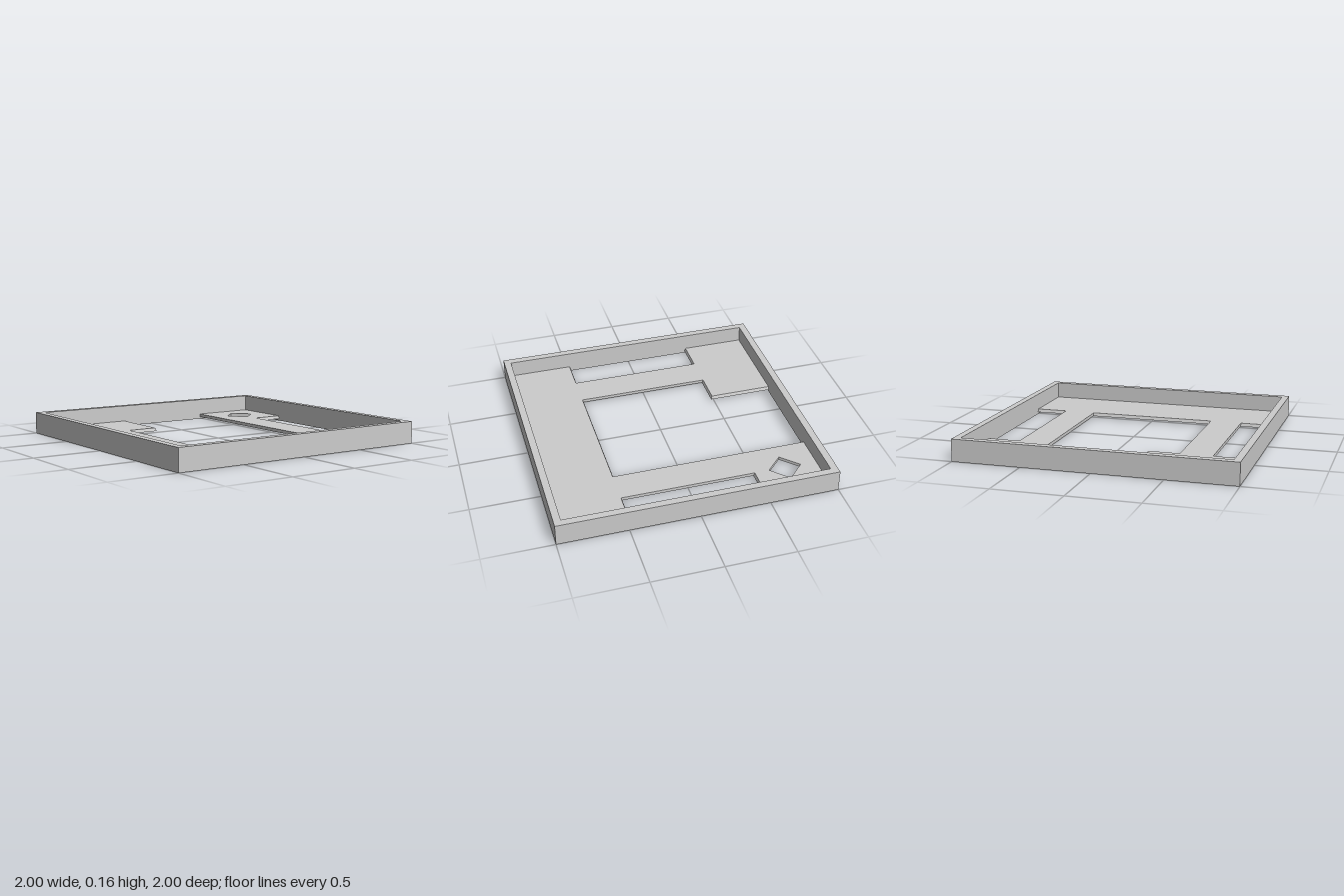
import * as THREE from 'three';

const material = new THREE.MeshStandardMaterial({ color: 0xcccccc, flatShading: true });

// Counter-clockwise closed outline from [x, z] corners; z is flipped so the extrusion rises along y
const outline = (points, Type = THREE.Shape) =>
  new Type(points.map(([x, z]) => new THREE.Vector2(x, -z)).reverse());

const square = (h) => [[-h, -h], [h, -h], [h, h], [-h, h]];

// Horizontal slab between two heights
function slab(name, shape, bottom, top) {
  const geometry = new THREE.ExtrudeGeometry(shape, { depth: top - bottom, bevelEnabled: false });
  geometry.rotateX(-Math.PI / 2).translate(0, bottom, 0);
  const mesh = new THREE.Mesh(geometry, material);
  mesh.name = name;
  return mesh;
}

export function createModel() {
  const group = new THREE.Group();
  group.name = 'floorTray';

  // Square rim wall around the tray
  const rim = outline(square(1));
  rim.holes.push(outline(square(0.949), THREE.Path));
  group.add(slab('rimWall', rim, 0, 0.16));

  // Floor set slightly above the underside, its ends let into the rim
  const e = 0.965, a = 0.477, n = 0.712, t = -0.242;
  const floor = outline([
    [-e, -e], [t, -e], [t, -a], [-a, -a], [-a, a], [a, a], [a, -e], [e, -e],
    [e, -a], [n, -a], [n, a], [e, a], [e, e], [-e, e],
    [-e, a], [-n, a], [-n, -a], [-e, -a],
  ]);

  // Diamond opening in the back corner
  const c = 0.712, r = 0.119;
  floor.holes.push(outline([[c - r, -c], [c, -c - r], [c + r, -c], [c, -c + r]], THREE.Path));
  const bottom = 0.015, top = 0.039;
  const plate = slab('floorPlate', floor, bottom, top);

  // Lean the cross edges of the openings back towards the top
  const lean = 0.009;
  const position = plate.geometry.attributes.position;
  for (let i = 0; i < position.count; i++) {
    if (position.getY(i) < (bottom + top) / 2) continue;
    const x = position.getX(i), z = position.getZ(i);
    if (Math.abs(Math.abs(z) - a) < 1e-4) position.setZ(i, z + Math.sign(z) * lean);
    if (Math.abs(x - t) < 1e-4) position.setX(i, x - lean);
  }
  plate.geometry.computeVertexNormals();
  group.add(plate);

  return group;
}
